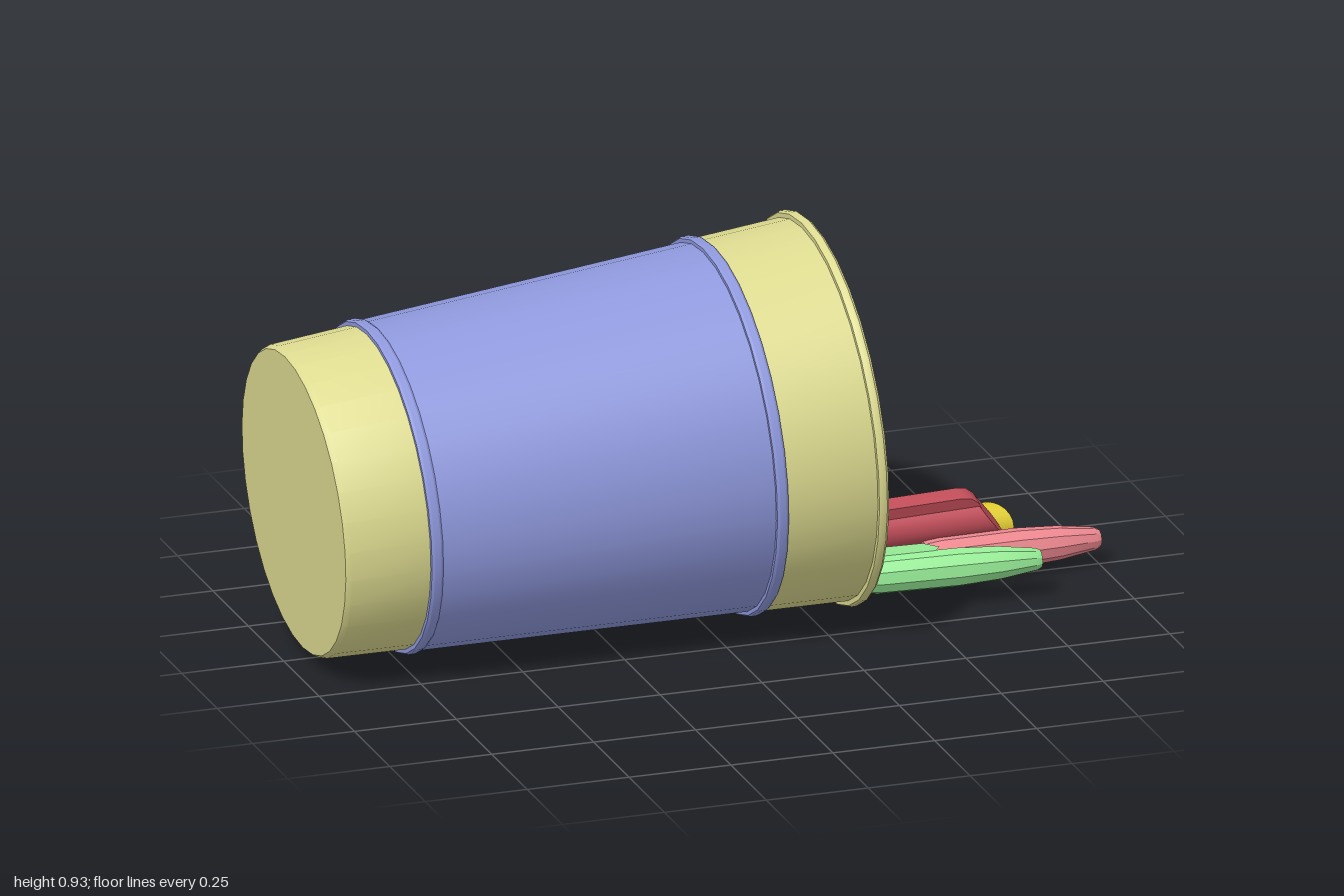
import * as THREE from 'three';
import { toCreasedNormals } from 'three/addons/utils/BufferGeometryUtils.js';

const paint = (color) => new THREE.MeshStandardMaterial({ color });
const CREAM = paint(0xdddb90), BLUE = paint(0x8f99dd), GREY = paint(0xcccccc);
const GREEN = paint(0x98ee98), SALMON = paint(0xee8890), CRIMSON = paint(0xc24e5a);
const PINK = paint(0xf0a8cc), YELLOW = paint(0xe0cc30), PALE = paint(0xeee48c);

function mesh(name, geometry, material) {
  const m = new THREE.Mesh(toCreasedNormals(geometry, 0.55), material);
  m.name = name;
  return m;
}

// Turned part from [radius, height] pairs, listed up the outside then down the inside
function turned(name, profile, sides, material) {
  const pts = profile.map(([r, y]) => new THREE.Vector2(r, y));
  return mesh(name, new THREE.LatheGeometry(pts, sides), material);
}

// Turned part lying along +x, from [x, radius] pairs
function turnedX(name, profile, material, sides = 12) {
  const m = turned(name, profile.map(([x, r]) => [r, x]), sides, material);
  m.geometry.rotateZ(-Math.PI / 2);
  return m;
}

// Side outline in x and y, given a centred width in z
function clip(points, width, material) {
  const shape = new THREE.Shape(points.map(([x, y]) => new THREE.Vector2(x, y)));
  const geo = new THREE.ExtrudeGeometry(shape, { depth: width, bevelEnabled: false });
  geo.translate(0, 0, -width / 2);
  return mesh('clip', geo, material);
}

function bead(name, y, r, material) {
  return turned(name, [[r - 0.02, y - 0.014], [r - 0.004, y - 0.014], [r, y - 0.008], [r, y + 0.008],
    [r - 0.004, y + 0.014], [r - 0.02, y + 0.014]], 32, material);
}

function makeCup() {
  const cup = new THREE.Group();
  cup.name = 'cup';
  cup.add(
    turned('base', [[0, 0], [0.362, 0], [0.37, 0.012], [0.383, 0.23], [0.37, 0.23], [0.356, 0.02], [0, 0.02]], 32, CREAM),
    turned('sleeve', [[0.378, 0.21], [0.388, 0.21], [0.436, 1.05], [0.422, 1.05], [0.378, 0.21]], 32, BLUE),
    turned('collar', [[0.421, 1.04], [0.438, 1.04], [0.452, 1.28], [0.44, 1.28], [0.421, 1.04]], 32, CREAM),
    turned('rim', [[0.44, 1.276], [0.463, 1.276], [0.467, 1.283], [0.467, 1.294], [0.462, 1.3],
      [0.446, 1.3], [0.44, 1.294], [0.44, 1.276]], 32, CREAM),
    bead('lowerBand', 0.216, 0.395, BLUE),
    bead('upperBand', 1.046, 0.448, BLUE));
  // Lying on its side, mouth towards +x
  cup.position.set(-0.975, 0.3885, 0);
  cup.rotation.z = -Math.PI / 2 + 0.06;
  return cup;
}

// Pen whose cap end is the local origin; roll turns the clip about the pen
function place(name, back, tip, roll, parts) {
  const pen = new THREE.Group();
  pen.name = name;
  pen.add(...parts);
  const end = new THREE.Vector3(...tip);
  const dir = end.clone().sub(new THREE.Vector3(...back)).normalize();
  const xAxis = new THREE.Vector3(1, 0, 0);
  pen.quaternion.setFromUnitVectors(xAxis, dir)
    .multiply(new THREE.Quaternion().setFromAxisAngle(xAxis, roll));
  pen.position.copy(end);
  return pen;
}

// Slim pen with a tapered cap
function penParts(length, cap, clipStart, color) {
  return [
    turnedX('barrel', [[-length, 0], [-length, 0.022], [-length + 0.08, 0.034], [-cap + 0.02, 0.034], [-cap + 0.02, 0]], GREY),
    turnedX('cap', [[-cap, 0], [-cap, 0.04], [-cap + 0.04, 0.045], [-0.2, 0.046], [-0.1, 0.04],
      [-0.012, 0.027], [0, 0.021], [0, 0]], color, 10),
    clip([[clipStart, 0.047], [clipStart + 0.24, 0.035], [clipStart + 0.26, 0.05],
      [clipStart + 0.22, 0.062], [clipStart, 0.062]], 0.032, color),
  ];
}

// Thick marker whose cap end is cut on a slant towards the clip
function markerParts(length, cap, bodyColor, capColor) {
  const capGeo = new THREE.CylinderGeometry(0.048, 0.048, cap, 20);
  capGeo.rotateZ(-Math.PI / 2).translate(-cap / 2, 0, 0);
  const p = capGeo.attributes.position;
  for (let i = 0; i < p.count; i++) {
    if (p.getX(i) > -0.01) p.setX(i, -0.035 * (p.getY(i) / 0.048 + 1));
  }
  return [
    turnedX('barrel', [[-length, 0], [-length, 0.03], [-length + 0.02, 0.036], [-cap + 0.02, 0.036], [-cap + 0.02, 0]], bodyColor, 20),
    mesh('cap', capGeo, capColor),
    clip([[-cap - 0.07, 0.052], [-cap + 0.06, 0.052], [-cap + 0.08, 0.035], [-0.06, 0.035],
      [-0.065, 0.048], [-0.085, 0.065], [-0.11, 0.07], [-cap - 0.07, 0.07]], 0.046, capColor),
  ];
}

export function createModel() {
  const model = new THREE.Group();
  model.name = 'penCup';
  model.add(
    makeCup(),
    place('greenPen', [-0.8, 0.08, 0.05], [0.8, 0.092, 0.163], -0.43, penParts(1.6, 0.43, -0.5, GREEN)),
    place('salmonPen', [-0.6, 0.07, 0.02], [1, 0.063, 0], 1.8, penParts(1.6, 0.43, -0.59, SALMON)),
    place('redMarker', [-0.87, 0.08, -0.06], [0.78, 0.137, -0.05], 0.25, markerParts(1.65, 0.37, PINK, CRIMSON)),
    place('yellowMarker', [-0.86, 0.073, -0.14], [0.82, 0.083, -0.13], -1.6, markerParts(1.68, 0.37, PALE, YELLOW)));
  return model;
}
